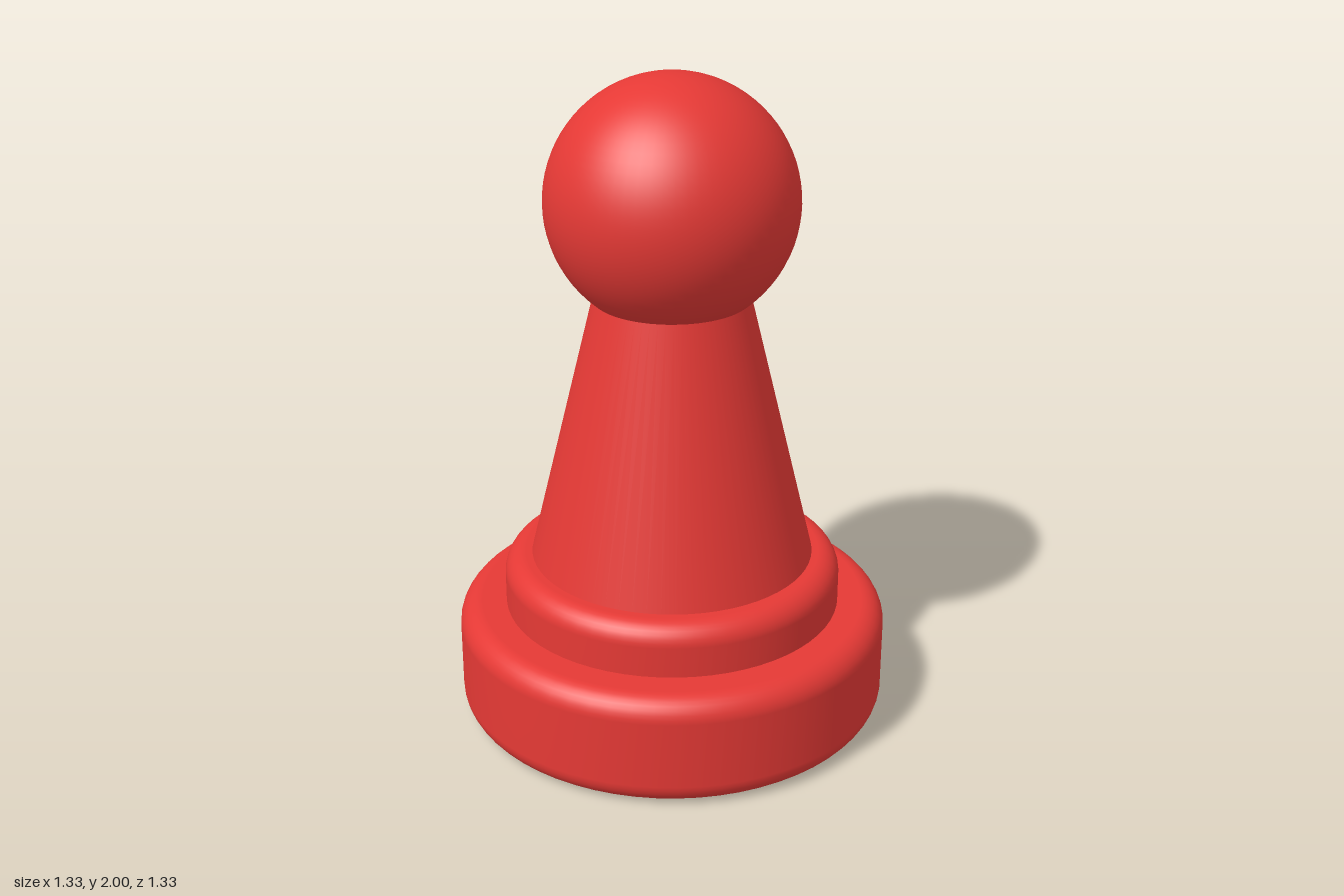
import * as THREE from 'three';

const SEGMENTS = 64;
const red = new THREE.MeshStandardMaterial({ color: 0xe53935 });

// Solid disc with rounded rims, standing between y0 and y1
function roundedDisc(radius, y0, y1, bevel) {
  const points = [new THREE.Vector2(0, y0)];
  const addRim = (cy, start) => {
    for (let i = 0; i <= 8; i++) {
      const a = start + (i / 8) * Math.PI / 2;
      points.push(new THREE.Vector2(radius - bevel + bevel * Math.cos(a), cy + bevel * Math.sin(a)));
    }
  };
  addRim(y0 + bevel, -Math.PI / 2);
  addRim(y1 - bevel, 0);
  points.push(new THREE.Vector2(0, y1));
  return new THREE.LatheGeometry(points, SEGMENTS);
}

export function createModel() {
  const model = new THREE.Group();
  model.name = 'gamePawn';

  const add = (name, geometry, y = 0) => {
    const mesh = new THREE.Mesh(geometry, red);
    mesh.name = name;
    mesh.position.y = y;
    model.add(mesh);
  };

  // Stepped foot
  add('base', roundedDisc(0.665, 0, 0.35, 0.07));
  add('collar', roundedDisc(0.52, 0.2, 0.51, 0.065));

  // Tapered body, its lower end seated on the collar
  const bottom = 0.51, top = 1.335;
  add('body', new THREE.CylinderGeometry(0.235, 0.435, top - bottom, SEGMENTS), (bottom + top) / 2);

  // Ball head
  add('head', new THREE.SphereGeometry(0.375, SEGMENTS, 40), 1.625);

  return model;
}
